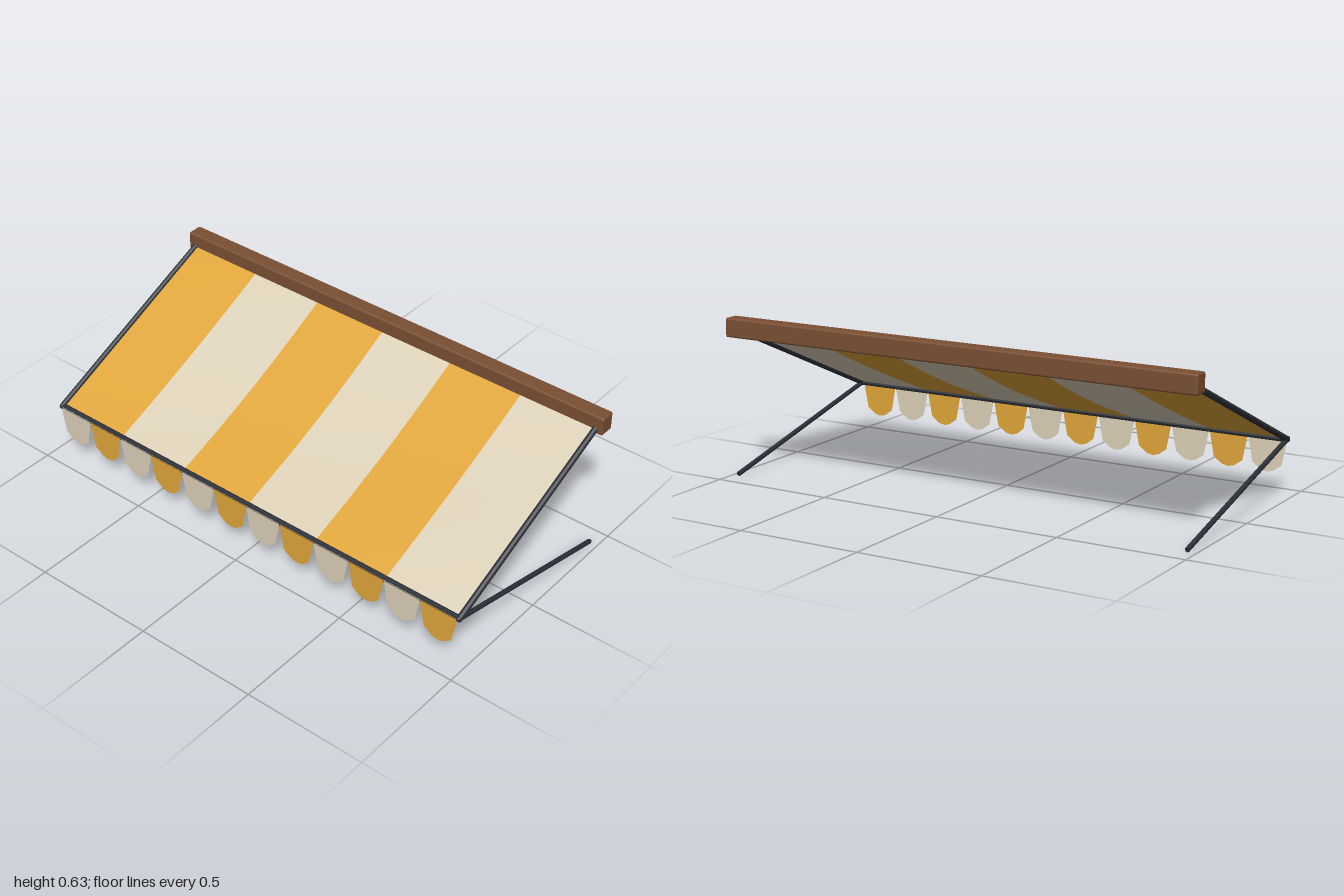
import * as THREE from 'three';
import { RoundedBoxGeometry } from 'three/addons/geometries/RoundedBoxGeometry.js';

const mat = (name, color, side = THREE.FrontSide) => {
  const m = new THREE.MeshStandardMaterial({ color, side });
  m.name = name;
  return m;
};

export function createModel() {
  const gold = mat('gold fabric', 0xe0a63a, THREE.DoubleSide);
  const cream = mat('cream fabric', 0xdcd0b8, THREE.DoubleSide);
  const wood = mat('brown wood', 0x7a4f33);
  const metal = mat('dark metal', 0x2b2f36);
  metal.flatShading = true;

  const group = new THREE.Group();
  group.name = 'awning';
  const add = (name, geometry, material) => {
    const mesh = new THREE.Mesh(geometry, material);
    mesh.name = name;
    group.add(mesh);
    return mesh;
  };

  const halfWidth = 0.966;
  const back = { y: 0.583, z: -0.4 };
  const front = { y: 0.219, z: 0.421 };

  // Rod between two points
  const rod = (name, a, b, radius) => {
    const dir = b.clone().sub(a);
    const mesh = add(name, new THREE.CylinderGeometry(radius, radius, dir.length(), 8), metal);
    mesh.position.copy(a).add(b).multiplyScalar(0.5);
    mesh.quaternion.setFromUnitVectors(new THREE.Vector3(0, 1, 0), dir.normalize());
  };

  // Wall beam
  add('wallBeam', new RoundedBoxGeometry(2, 0.076, 0.064, 2, 0.008), wood)
    .position.set(0, 0.592, -0.405);

  // Striped canopy with a gentle sag towards its middle
  const stripes = 6;
  const stripeWidth = (2 * halfWidth) / stripes;
  for (let i = 0; i < stripes; i++) {
    const g = new THREE.PlaneGeometry(stripeWidth, 1, 6, 16);
    const p = g.attributes.position;
    for (let k = 0; k < p.count; k++) {
      const x = p.getX(k) - halfWidth + (i + 0.5) * stripeWidth;
      const v = 0.5 - p.getY(k);
      const sag = 0.022 * Math.sin(Math.PI * v) * Math.cos((x / halfWidth) * Math.PI / 2);
      p.setXYZ(k, x,
        THREE.MathUtils.lerp(back.y, front.y, v) + 0.003 - sag,
        THREE.MathUtils.lerp(back.z, front.z, v));
    }
    g.computeVertexNormals();
    add('canopyStripe' + (i + 1), g, i % 2 ? cream : gold);
  }

  // Hanging valance flaps
  const flaps = 12;
  const flapWidth = (2 * halfWidth) / flaps;
  const outline = [[-0.5, 0], [-0.47, -0.03], [-0.37, -0.112], [-0.16, -0.137], [0, -0.143],
    [0.16, -0.137], [0.37, -0.112], [0.47, -0.03], [0.5, 0]];
  const flapGeometry = new THREE.ShapeGeometry(
    new THREE.Shape(outline.map(([x, y]) => new THREE.Vector2(x * flapWidth, y))));
  for (let i = 0; i < flaps; i++) {
    add('valanceFlap' + (i + 1), flapGeometry, i % 2 ? gold : cream)
      .position.set(-halfWidth + (i + 0.5) * flapWidth, 0.223, 0.432);
  }

  // Side rails, support arms and corner joints
  for (const [side, s] of [['left', 1], ['right', -1]]) {
    const x = s * 0.968;
    const corner = new THREE.Vector3(x, front.y, front.z + 0.002);
    rod(side + 'Rail', new THREE.Vector3(x, back.y, back.z), corner, 0.0125);
    rod(side + 'Arm', new THREE.Vector3(x, 0.012, -0.423), corner, 0.0095);
    add(side + 'Joint', new THREE.SphereGeometry(0.0125, 8, 6), metal).position.copy(corner);
  }

  // Front bar
  rod('frontBar', new THREE.Vector3(-0.972, front.y, front.z),
    new THREE.Vector3(0.972, front.y, front.z), 0.0115);

  return group;
}
